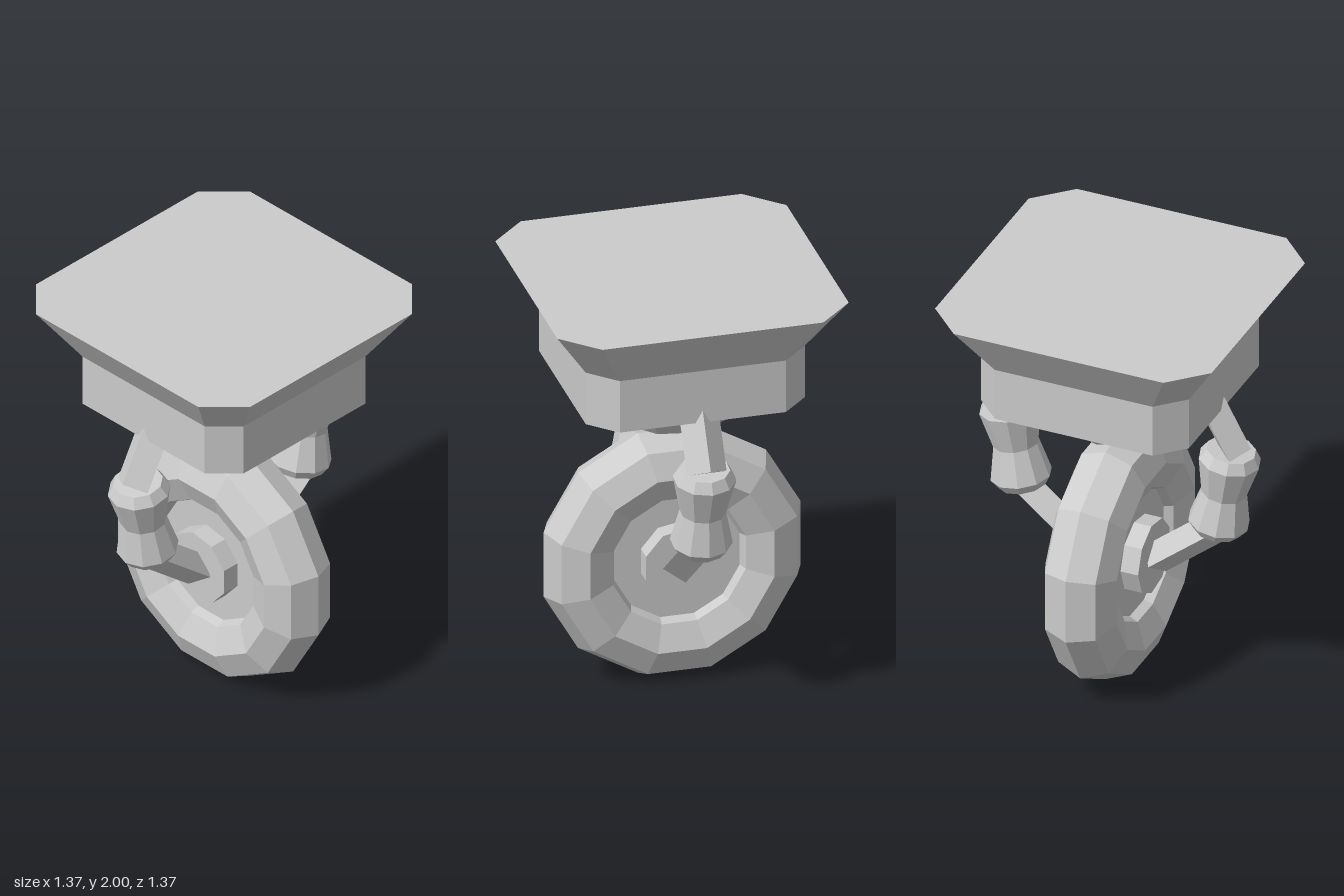
import * as THREE from 'three';

const material = new THREE.MeshStandardMaterial({ color: 0xcccccc, flatShading: true });

function part(name, geometry) {
  const mesh = new THREE.Mesh(geometry, material);
  mesh.name = name;
  return mesh;
}

// Faceted turned form; profile runs from bottom to top as [radius, y]
function turned(profile, sides, start) {
  const points = profile.map(([r, y]) => new THREE.Vector2(r, y));
  return new THREE.LatheGeometry(points, sides, start);
}

// Diamond-section bar between two points in the xy plane
function strut(name, [ax, ay], [bx, by]) {
  const dx = bx - ax, dy = by - ay;
  const geometry = new THREE.CylinderGeometry(1, 1, Math.hypot(dx, dy), 4);
  geometry.scale(0.076, 1, 0.093);
  const mesh = part(name, geometry);
  mesh.position.set((ax + bx) / 2, (ay + by) / 2, 0);
  mesh.rotation.z = Math.atan2(-dx, dy);
  return mesh;
}

// Flared mounting block: an eight-sided lathe squared off into a chamfered box
function mountGeometry() {
  const profile = [[0, 1.485], [0.515, 1.485], [0.515, 1.745], [0.685, 2], [0, 2]];
  const geometry = turned(profile, 8, Math.PI / 8);
  const pos = geometry.attributes.position;
  for (let i = 0; i < pos.count; i++) {
    const x = pos.getX(i), z = pos.getZ(i), r = Math.hypot(x, z);
    const square = (v) => Math.sign(v) * r * (Math.abs(v) > r / 2 ? 1 : 0.758);
    pos.setXYZ(i, square(x), pos.getY(i), square(z));
  }
  return geometry;
}

// One side of the fork: upper strut, waisted damper, lower strut
function createArm(name) {
  const arm = new THREE.Group();
  arm.name = name;
  arm.add(strut('upperStrut', [0.40, 1.595], [0.583, 1.26]));

  const damper = part('damper', turned([
    [0, 0], [0.112, 0], [0.143, 0.045], [0.106, 0.21],
    [0.145, 0.39], [0.115, 0.441], [0, 0.441],
  ], 10, Math.PI / 2));
  damper.position.set(0.483, 0.833, 0);
  damper.rotation.z = -0.157;
  arm.add(damper);

  arm.add(strut('lowerStrut', [0.5, 0.86], [0.18, 0.6]));
  return arm;
}

// Tyre, recessed disc and hub, all turning about the x axis
function createWheel() {
  const wheel = new THREE.Group();
  wheel.name = 'wheel';

  const tyre = new THREE.TorusGeometry(0.448, 0.177, 8, 12);
  tyre.rotateZ(Math.PI / 12).rotateY(Math.PI / 2);
  wheel.add(part('tyre', tyre));

  const disc = new THREE.CylinderGeometry(0.306, 0.306, 0.166, 12, 1, false, Math.PI / 12);
  wheel.add(part('wheelDisc', disc.rotateZ(Math.PI / 2)));

  const hub = new THREE.CylinderGeometry(0.18, 0.18, 0.34, 9, 1, false, Math.PI);
  wheel.add(part('hub', hub.rotateZ(Math.PI / 2)));

  wheel.position.y = 0.604;
  return wheel;
}

export function createModel() {
  const model = new THREE.Group();
  model.name = 'casterWheel';

  model.add(part('mountingBlock', mountGeometry()));
  model.add(part('swivelDome', turned([[0, 1.23], [0.27, 1.31], [0.405, 1.487]], 9, Math.PI)));
  model.add(createWheel());

  const leftArm = createArm('leftArm');
  const rightArm = createArm('rightArm');
  rightArm.rotation.y = Math.PI;
  model.add(leftArm, rightArm);

  return model;
}
